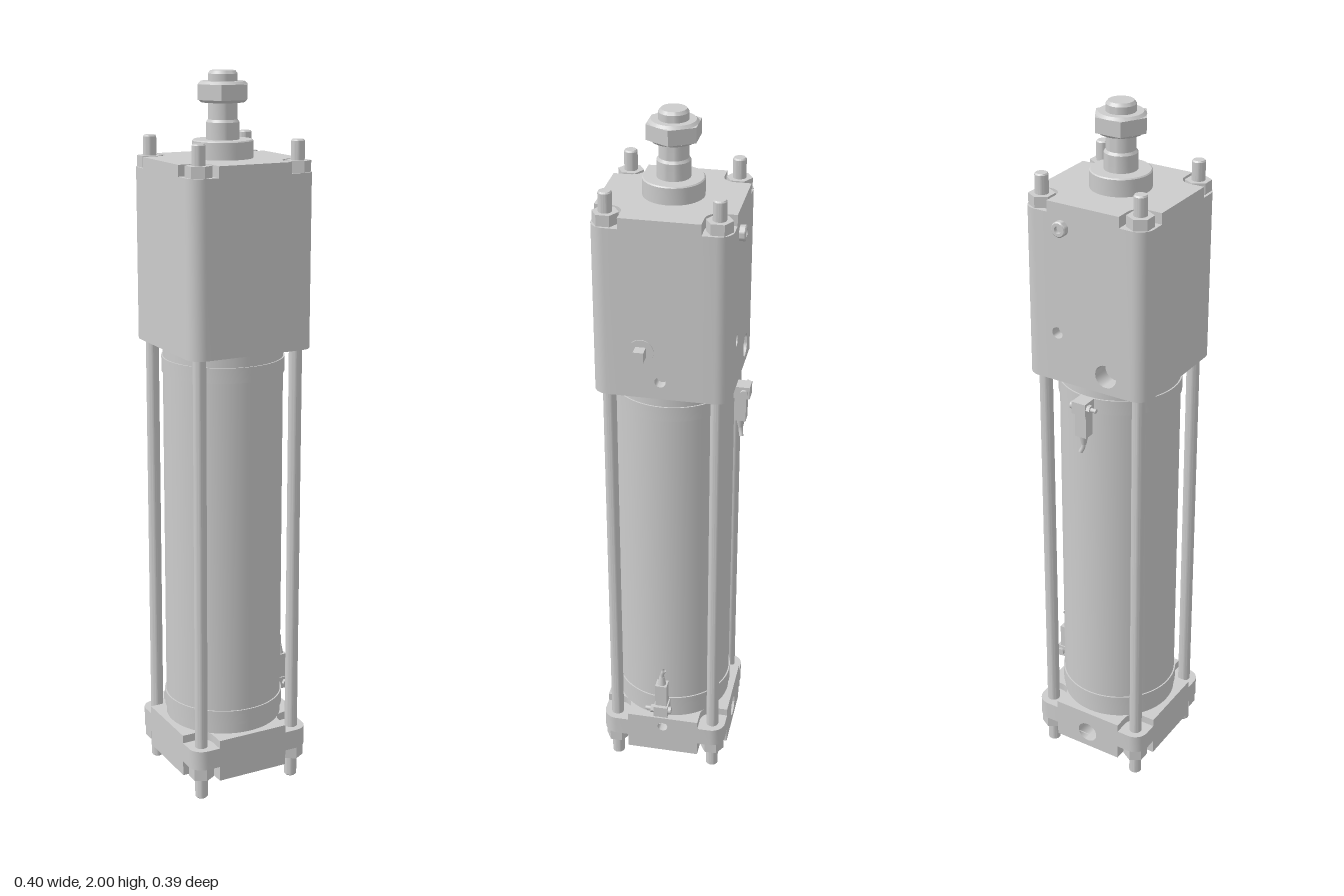
import * as THREE from 'three';
import { mergeGeometries, toCreasedNormals } from 'three/addons/utils/BufferGeometryUtils.js';

const grey = new THREE.MeshStandardMaterial({ color: 0xcccccc, side: THREE.DoubleSide });
const H = 0.183;   // half width of the square blocks
const C = 0.106;   // half width of the flat between corner pockets
const R = 0.145;   // tie rod offset from the axis

function add(parent, name, geo, x = 0, y = 0, z = 0) {
  const m = new THREE.Mesh(geo, grey);
  m.name = name;
  m.position.set(x, y, z);
  parent.add(m);
  return m;
}

// Solid of revolution with crisp edges, from [radius, height] pairs
function turned(points, segments = 48) {
  const pts = points.map(([r, y]) => new THREE.Vector2(r, y));
  return toCreasedNormals(new THREE.LatheGeometry(pts, segments).toNonIndexed(), 0.6);
}

// Chamfered hex nut, height h, centred
function hexNut(r, h) {
  const g = new THREE.CylinderGeometry(r, r, h, 6).toNonIndexed();
  return toCreasedNormals(g, 0.3);
}

// Square outline with either rounded corners or cut-out corner pockets
function outline(pocketed, scale = 1) {
  const quarter = [[H, C]];
  for (let i = 0; i <= 8; i++) {
    const t = (i / 8) * Math.PI / 2, r = pocketed ? 0.035 : 0.04;
    if (pocketed) quarter.push([C + r * (1 - Math.sin(t)), C + r * (1 - Math.cos(t))]);
    else quarter.push([H - r + r * Math.cos(t), H - r + r * Math.sin(t)]);
  }
  quarter.push([C, H]);
  const pts = [];
  for (let k = 0; k < 4; k++) {
    for (const [x, y] of quarter) {
      const p = [[x, y], [-y, x], [-x, -y], [y, -x]][k];
      pts.push(new THREE.Vector2(p[0] * scale, p[1] * scale));
    }
  }
  return pts;
}

// Side walls of one layer, left open where the ported panels go (back and +x)
function walls(pocketed, y0, y1) {
  const src = new THREE.ExtrudeGeometry(new THREE.Shape(outline(pocketed)), { depth: y1 - y0, bevelEnabled: false });
  const p = src.attributes.position, keep = [];
  for (let i = 0; i < p.count; i += 3) {
    const ids = [i, i + 1, i + 2];
    const isCap = ids.every(j => p.getZ(j) === p.getZ(i));
    const onPanel = ['getX', 'getY'].some(f => ids.every(j => p[f](j) > H - 1e-4)) &&
      ids.every(j => Math.min(Math.abs(p.getX(j)), Math.abs(p.getY(j))) < C + 1e-4);
    if (!isCap && !onPanel) ids.forEach(j => keep.push(p.getX(j), p.getY(j), p.getZ(j)));
  }
  const g = new THREE.BufferGeometry();
  g.setAttribute('position', new THREE.Float32BufferAttribute(keep, 3));
  return toCreasedNormals(g.rotateX(-Math.PI / 2).translate(0, y0, 0), 0.6);
}

// Horizontal face; a ring face keeps only the pocket floors
function plate(pocketed, y, ring = false) {
  const s = new THREE.Shape(outline(pocketed));
  if (ring) s.holes.push(new THREE.Path(outline(true, 0.985)));
  const g = new THREE.ShapeGeometry(s).toNonIndexed();
  g.deleteAttribute('uv');
  return g.rotateX(-Math.PI / 2).translate(0, y, 0);
}

// Flat panel with blind round ports, [u, y, radius, depth]
function portPanel(parent, angle, y0, y1, ports) {
  const side = new THREE.Group();
  side.name = 'portFace';
  side.rotation.y = angle;
  parent.add(side);
  const s = new THREE.Shape([[-C, y0], [C, y0], [C, y1], [-C, y1]].map(p => new THREE.Vector2(...p)));
  for (const [u, y, r, depth] of ports) {
    s.holes.push(new THREE.Path().absarc(u, y, r, 0, Math.PI * 2, true));
    add(side, 'port', turned([[0, -depth], [r, -depth], [r, 0]], 24).rotateX(Math.PI / 2), u, y, H);
  }
  add(side, 'portPanel', new THREE.ShapeGeometry(s, 12), 0, 0, H);
  return side;
}

// Block from stacked layers [pocketed, y0, y1]
function block(parent, name, layers) {
  const parts = [];
  layers.forEach(([pocketed, y0, y1], i) => {
    parts.push(walls(pocketed, y0, y1));
    if (i) parts.push(plate(false, y0, true));
  });
  const last = layers[layers.length - 1];
  parts.push(plate(layers[0][0], layers[0][1]).scale(1, 1, 1), plate(last[0], last[2]));
  // bottom plate looks down
  const bottom = parts[parts.length - 2];
  const nrm = bottom.attributes.normal, pos = bottom.attributes.position;
  for (let i = 0; i < pos.count; i += 3) {
    const a = [pos.getX(i), pos.getY(i), pos.getZ(i)];
    pos.setXYZ(i, pos.getX(i + 1), pos.getY(i + 1), pos.getZ(i + 1));
    pos.setXYZ(i + 1, ...a);
  }
  for (let i = 0; i < nrm.count; i++) nrm.setXYZ(i, 0, -1, 0);
  add(parent, name, mergeGeometries(parts));
}

// Position sensor: faces local +z, cable end up
function sensor() {
  const g = new THREE.Group();
  g.name = 'sensor';
  add(g, 'sensorFoot', new THREE.BoxGeometry(0.042, 0.035, 0.05), 0, 0.018, 0.187);
  add(g, 'sensorBody', new THREE.BoxGeometry(0.034, 0.075, 0.032), 0, 0.07, 0.186);
  add(g, 'sensorNeck', new THREE.CylinderGeometry(0.007, 0.013, 0.03, 16), 0, 0.12, 0.186);
  const path = new THREE.CatmullRomCurve3([[0, 0.13, 0.186], [0.002, 0.145, 0.187], [0.008, 0.16, 0.19]]
    .map(p => new THREE.Vector3(...p)));
  add(g, 'sensorCable', new THREE.TubeGeometry(path, 8, 0.006, 10, false));
  add(g, 'clampScrew', new THREE.CylinderGeometry(0.006, 0.006, 0.05, 12).rotateZ(Math.PI / 2), -0.022, 0.018, 0.197);
  add(g, 'clampNut', hexNut(0.012, 0.01).rotateZ(Math.PI / 2), -0.026, 0.018, 0.197);
  add(g, 'clampHead', new THREE.CylinderGeometry(0.011, 0.011, 0.01, 16).rotateZ(Math.PI / 2), 0.025, 0.018, 0.197);
  return g;
}

export function createModel() {
  const root = new THREE.Group();
  root.name = 'tieRodCylinder';
  const axis = new THREE.Group();
  axis.name = 'cylinderAssembly';
  axis.position.set(-0.018, 0, 0.015);
  root.add(axis);

  // Head block with ports, bleed plug and adjusting screw
  block(axis, 'headBlock', [[false, 1.275, 1.745], [true, 1.745, 1.775]]);
  const headBack = portPanel(axis, Math.PI, 1.275, 1.775,
    [[0.067, 1.326, 0.032, 0.05], [-0.08, 1.415, 0.016, 0.03]]);
  add(headBack, 'plug', turned([[0.021, 0], [0.021, 0.014], [0.018, 0.017], [0.01, 0.017], [0.01, 0.006], [0, 0.006]], 24)
    .rotateX(Math.PI / 2), -0.063, 1.71, H);
  const headSide = portPanel(axis, Math.PI / 2, 1.275, 1.775, [[0, 1.325, 0.015, 0.03]]);
  add(headSide, 'screwWasher', turned([[0.034, 0], [0.034, 0.003], [0, 0.003]], 32).rotateX(Math.PI / 2), -0.05, 1.41, H);
  add(headSide, 'squareScrew', new THREE.BoxGeometry(0.028, 0.028, 0.036), -0.05, 1.41, H + 0.017);

  // End cap with pockets above and below
  block(axis, 'endCap', [[true, 0.057, 0.1], [false, 0.1, 0.157], [true, 0.157, 0.18]]);
  portPanel(axis, Math.PI, 0.057, 0.18, [[0, 0.108, 0.031, 0.05]]);
  portPanel(axis, Math.PI / 2, 0.057, 0.18, [[0, 0.148, 0.015, 0.03]]);
  add(axis, 'endBoss', turned([[0, 0.035], [0.08, 0.035], [0.08, 0.058]]));

  // Barrel and its two clamp bands
  add(axis, 'barrel', turned([[0.165, 0.17], [0.165, 1.28]], 64));
  for (const y of [0.208, 1.2]) {
    add(axis, 'band', turned([[0.164, y], [0.169, y], [0.169, y + 0.042], [0.164, y + 0.042]], 64));
  }

  // Tie rods with nuts at both ends
  for (const sx of [-1, 1]) for (const sz of [-1, 1]) {
    const x = sx * R, z = sz * R;
    add(axis, 'tieRod', turned([[0, 0], [0.014, 0], [0.018, 0.004], [0.018, 1.825], [0.015, 1.829], [0, 1.829]], 20), x, 0, z);
    add(axis, 'topNut', hexNut(0.035, 0.03), x, 1.76, z);
    add(axis, 'bottomNut', hexNut(0.035, 0.036), x, 0.082, z);
  }

  // Gland, piston rod and its lock nut
  add(axis, 'gland', turned([[0.081, 1.77], [0.081, 1.82], [0.078, 1.823], [0, 1.823]]));
  add(axis, 'pistonRod', turned([[0.044, 1.82], [0.044, 1.868], [0.039, 1.875], [0.039, 1.992], [0.033, 2], [0, 2]], 32));
  add(axis, 'lockNut', hexNut(0.074, 0.04).rotateY(Math.PI / 6), 0, 1.946, 0);
  for (const s of [-1, 1]) {
    add(axis, 'nutChamfer', turned([[0.072, 0], [0.064, 0.007], [0.036, 0.007]], 36).scale(0.9, s, 0.9), 0, 1.946 + s * 0.02, 0);
  }

  // Sensors: one low on the left, one inverted high on the back
  const low = sensor();
  low.position.y = 0.21;
  low.rotation.y = Math.PI / 2;
  const high = sensor();
  high.position.y = 1.243;
  high.rotation.x = Math.PI;
  axis.add(low, high);
  return root;
}
